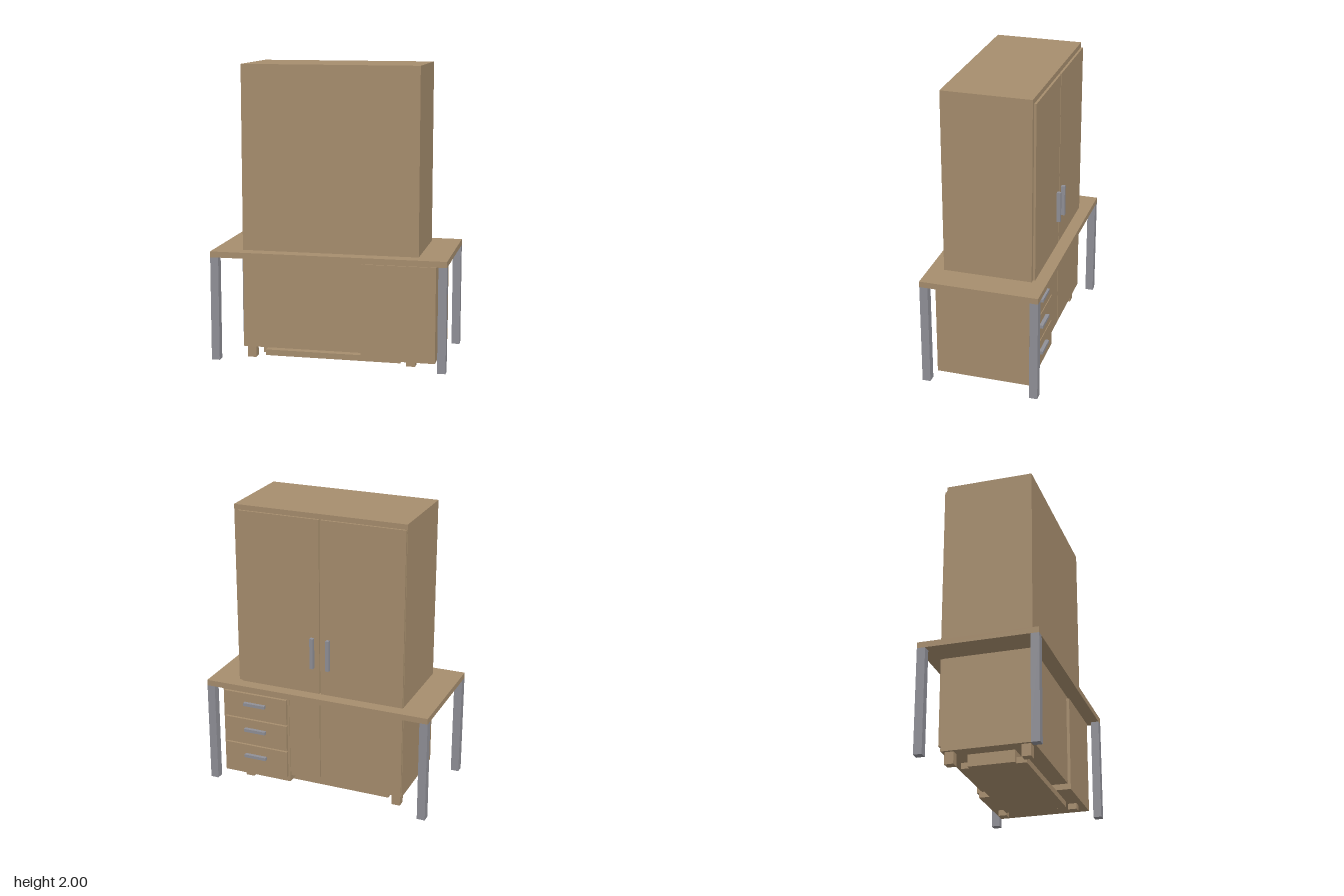
import * as THREE from 'three';

export function createModel() {
  const model = new THREE.Group();
  model.name = 'deskWithWardrobe';

  const wood = new THREE.MeshStandardMaterial({ color: 0xa68d6d });
  wood.name = 'wood';
  const metal = new THREE.MeshStandardMaterial({ color: 0x909097 });
  metal.name = 'grey metal';

  // Box given by its extents along each axis
  function box(name, material, [x0, x1], [y0, y1], [z0, z1], parent = model) {
    const mesh = new THREE.Mesh(new THREE.BoxGeometry(x1 - x0, y1 - y0, z1 - z0), material);
    mesh.position.set((x0 + x1) / 2, (y0 + y1) / 2, (z0 + z1) / 2);
    mesh.name = name;
    parent.add(mesh);
    return mesh;
  }
  const around = (centre, size) => [centre - size / 2, centre + size / 2];
  const group = (name) => {
    const g = new THREE.Group();
    g.name = name;
    model.add(g);
    return g;
  };

  // Desk: top slab on four square corner legs
  const desk = group('desk');
  box('deskTop', wood, [-0.8, 0.8], [0.71, 0.75], [-0.4, 0.4], desk);
  for (const sx of [-1, 1]) {
    for (const sz of [-1, 1]) {
      box('deskLeg', metal, around(sx * 0.772, 0.056), [0, 0.71], around(sz * 0.372, 0.056), desk);
    }
  }

  // Wardrobe: tall body, two doors at the back, four feet and a low base
  const wardrobe = group('wardrobe');
  box('wardrobeBody', wood, [-0.6, 0.6], [0.08, 2], [-0.3, 0.3], wardrobe);
  const doors = [
    { span: [-0.597, -0.017], handle: -0.07 },
    { span: [-0.005, 0.57], handle: 0.043 },
  ];
  for (const { span, handle } of doors) {
    box('wardrobeDoor', wood, span, [0.115, 1.965], [-0.315, -0.3], wardrobe);
    box('doorHandle', metal, around(handle, 0.024), [0.935, 1.15], [-0.342, -0.315], wardrobe);
  }
  for (const sx of [-1, 1]) {
    for (const sz of [-1, 1]) {
      box('wardrobeFoot', wood, around(sx * 0.55, 0.06), [0, 0.08], around(sz * 0.25, 0.06), wardrobe);
    }
  }
  box('basePlinth', wood, [-0.5, 0.5], [0, 0.08], [-0.155, 0.155], wardrobe);
  box('baseBoard', wood, [-0.47, 0.47], [0, 0.04], [-0.207, 0.22], wardrobe);

  // Drawer pedestal with three drawers facing the back
  const pedestal = group('drawerPedestal');
  box('pedestalBody', wood, [0.218, 0.718], [0.04, 0.69], [-0.32, 0.32], pedestal);
  for (const [y0, y1] of [[0.08, 0.272], [0.282, 0.47], [0.48, 0.666]]) {
    box('drawerFront', wood, [0.233, 0.703], [y0, y1], [-0.34, -0.32], pedestal);
    box('drawerHandle', metal, around(0.468, 0.16), around((y0 + y1) / 2 + 0.02, 0.022), [-0.365, -0.34], pedestal);
  }

  return model;
}
